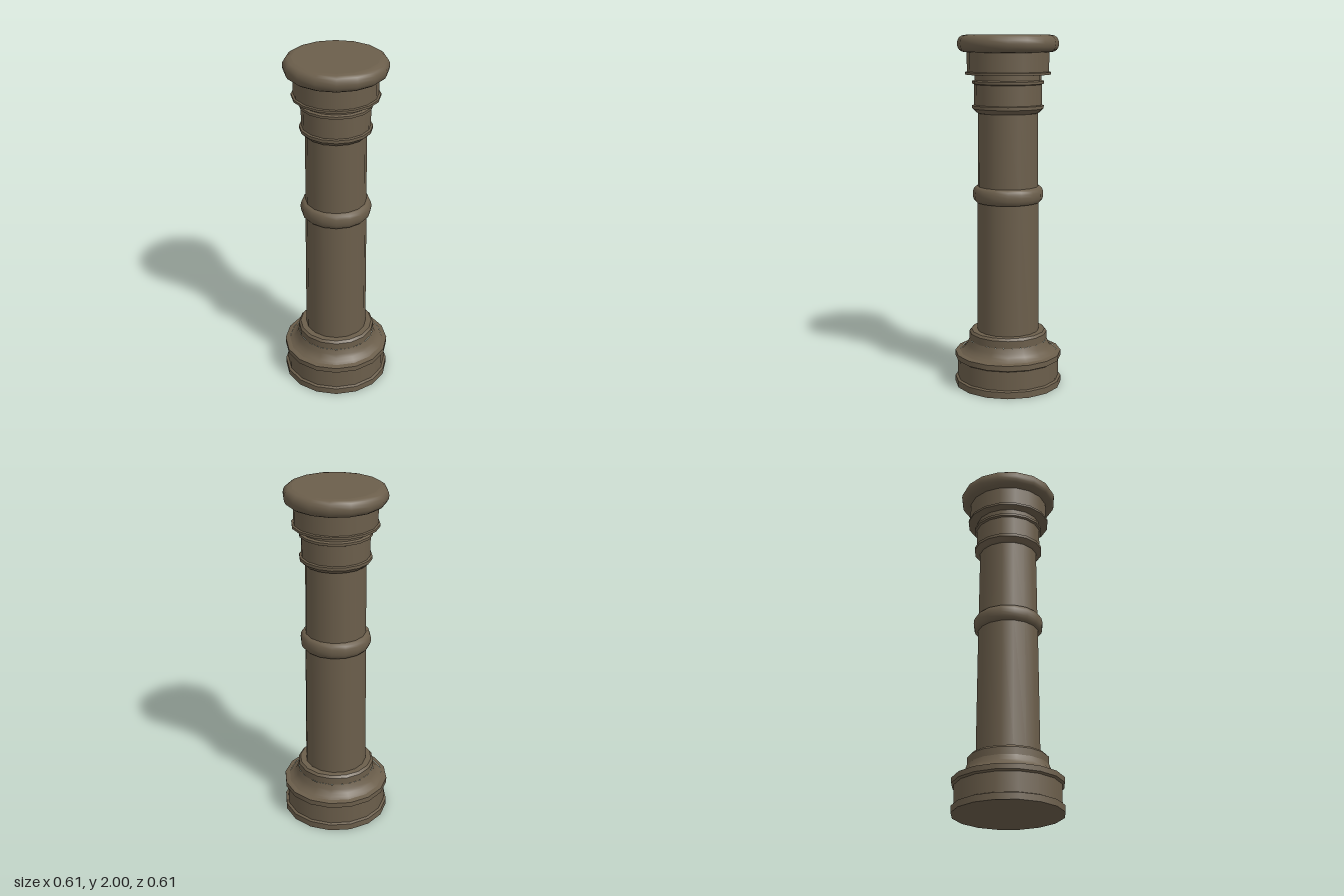
import * as THREE from 'three';
import { mergeGeometries } from 'three/addons/utils/BufferGeometryUtils.js';

const SIDES = 16;
const stone = new THREE.MeshStandardMaterial({ color: 0x6b5e4b });
stone.name = 'brown stone';

// Lathe of [radius, y] points; each straight run keeps its own normals so edges stay crisp
function turn(name, points, smooth = false) {
  const pts = points.map(([r, y]) => new THREE.Vector2(r, y));
  const runs = smooth ? [pts] : pts.slice(1).map((p, i) => [pts[i], p]);
  const mesh = new THREE.Mesh(mergeGeometries(runs.map(run => new THREE.LatheGeometry(run, SIDES))), stone);
  mesh.name = name;
  return mesh;
}

// Rounded moulding bulging from inner radius to outer radius
function roll(name, inner, outer, y0, y1) {
  const pts = [];
  const mid = (y0 + y1) / 2, half = (y1 - y0) / 2, n = 8;
  for (let i = 0; i <= n; i++) {
    const a = -Math.PI / 2 + Math.PI * i / n;
    pts.push([inner + (outer - inner) * Math.pow(Math.cos(a), 0.8), mid + half * Math.sin(a)]);
  }
  pts[0][0] = pts[n][0] = inner;
  return turn(name, pts, true);
}

export function createModel() {
  const column = new THREE.Group();
  column.name = 'column';

  column.add(
    // Pedestal drum with projecting lips
    turn('plinth', [[0, 0], [0.307, 0], [0.307, 0.037], [0.293, 0.043], [0.293, 0.152],
      [0.307, 0.16], [0.307, 0.19], [0.28, 0.195]]),
    // Concave sweep up to the shaft collar
    turn('baseFlare', [[0.28, 0.193], [0.262, 0.203], [0.247, 0.218], [0.235, 0.237],
      [0.225, 0.265]], true),
    turn('baseCollar', [[0.21, 0.262], [0.224, 0.265], [0.224, 0.307], [0.212, 0.32], [0.17, 0.32]]),
    // Shaft in two gently tapering lengths
    turn('lowerShaft', [[0.178, 0.31], [0.173, 1.1]]),
    turn('upperShaft', [[0.172, 1.1], [0.168, 1.58]]),
    roll('shaftRing', 0.17, 0.2, 1.065, 1.158),
    // Stepped neck
    turn('neck', [[0.165, 1.568], [0.178, 1.573], [0.2, 1.595], [0.2, 1.612], [0.189, 1.616],
      [0.189, 1.728], [0.201, 1.733], [0.201, 1.747], [0.187, 1.753], [0.187, 1.782]]),
    turn('capitalDrum', [[0.18, 1.78], [0.24, 1.783], [0.24, 1.796], [0.229, 1.799], [0.229, 1.91]]),
    // Rounded cushion and its flat top
    roll('capitalCushion', 0.235, 0.283, 1.905, 2),
    turn('capitalUnderside', [[0.22, 1.905], [0.235, 1.905]]),
    turn('capitalTop', [[0.235, 2], [0, 2]]),
  );
  return column;
}
